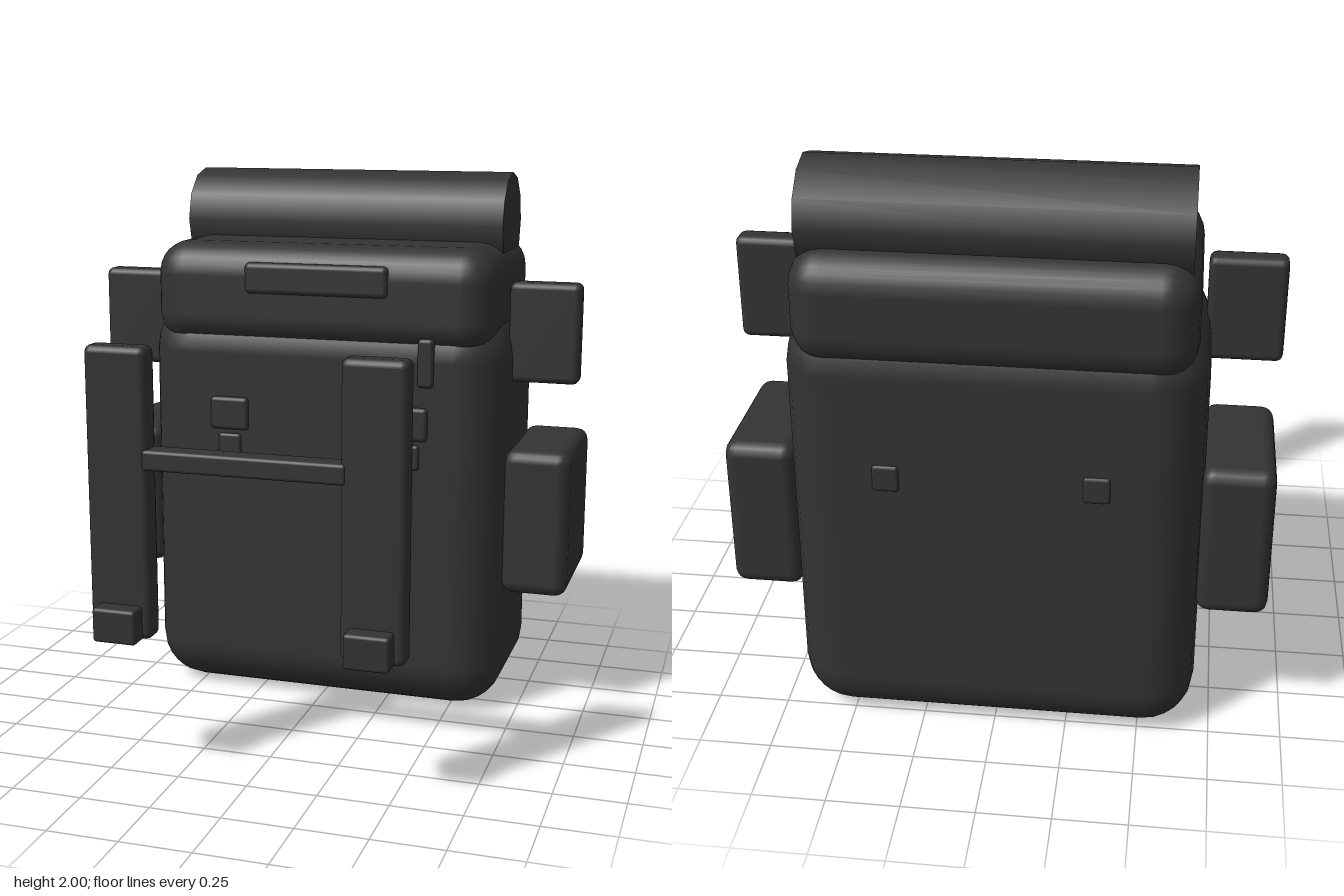
import * as THREE from 'three';
import { RoundedBoxGeometry } from 'three/addons/geometries/RoundedBoxGeometry.js';

export function createModel() {
  const model = new THREE.Group();
  model.name = 'backpack';

  const fabric = new THREE.MeshStandardMaterial({ color: 0x333333 });
  fabric.name = 'dark fabric';

  // Rounded box given by its limits along each axis
  function block(name, [x0, x1], [y0, y1], [z0, z1], radius, segments = 2) {
    const geometry = new RoundedBoxGeometry(x1 - x0, y1 - y0, z1 - z0, segments, radius);
    const mesh = new THREE.Mesh(geometry, fabric);
    mesh.name = name;
    mesh.position.set((x0 + x1) / 2, (y0 + y1) / 2, (z0 + z1) / 2);
    model.add(mesh);
  }

  // The same block on the left (+x) and right (-x)
  function pair(name, [x0, x1], y, z, radius, segments) {
    block(name + 'Left', [x0, x1], y, z, radius, segments);
    block(name + 'Right', [-x1, -x0], y, z, radius, segments);
  }

  // Main bag and lid
  block('body', [-0.69, 0.69], [0, 1.52], [-0.82, -0.06], 0.18, 3);
  block('lid', [-0.65, 0.65], [1.365, 1.75], [-0.835, -0.045], 0.12, 3);
  block('lidPocket', [-0.275, 0.27], [1.57, 1.685], [-0.09, -0.03], 0.02);

  // Bedroll across the top
  const roll = new THREE.Mesh(new THREE.CylinderGeometry(0.19, 0.19, 1.24, 12), fabric);
  roll.name = 'bedroll';
  roll.rotation.z = Math.PI / 2;
  roll.position.set(0, 1.81, -0.56);
  model.add(roll);

  // Side pockets and upper side flaps
  pair('sidePocket', [0.68, 0.925], [0.46, 1.01], [-0.705, -0.175], 0.045);
  pair('sideFlap', [0.67, 0.932], [1.25, 1.62], [-0.355, -0.265], 0.025);

  // Buckles and zip pull on the front, small buckles on the back
  pair('frontBuckle', [0.27, 0.42], [1.05, 1.175], [-0.1, -0.045], 0.015);
  pair('lowerBuckle', [0.3, 0.39], [0.94, 1.035], [-0.1, -0.05], 0.012);
  pair('backBuckle', [0.3, 0.39], [0.94, 1.035], [-0.828, -0.78], 0.012);
  block('zipPull', [0.38, 0.44], [1.25, 1.43], [-0.1, -0.045], 0.015);

  // Shoulder straps with end pads, joined by a chest bar
  pair('shoulderStrap', [0.33, 0.55], [0.49, 1.49], [0.68, 0.77], 0.025);
  pair('strapPad', [0.36, 0.515], [0.49, 0.61], [0.74, 0.835], 0.012);
  block('chestBar', [-0.35, 0.35], [1.08, 1.15], [0.685, 0.772], 0.012);

  return model;
}
